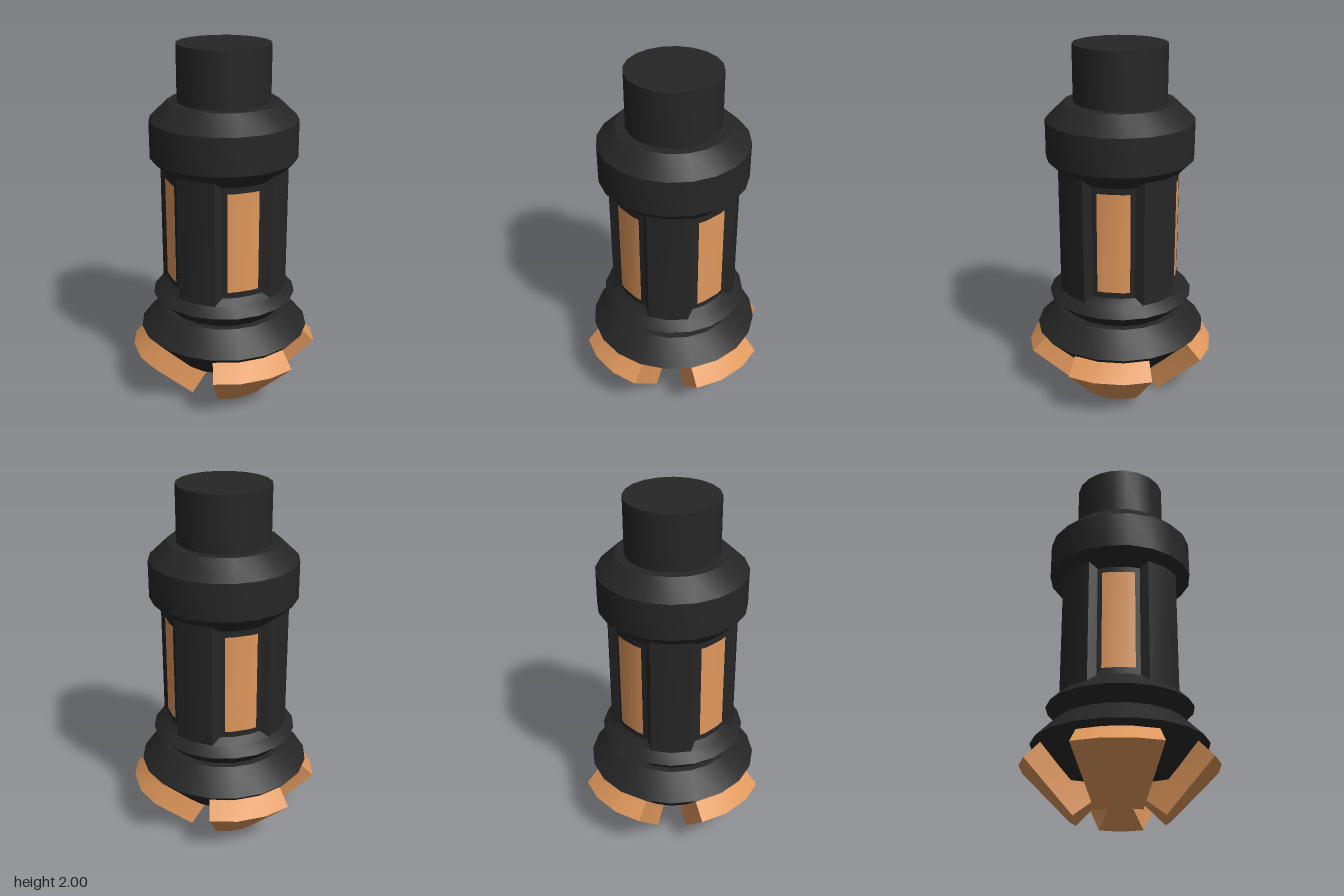
import * as THREE from 'three';
import { toCreasedNormals } from 'three/addons/utils/BufferGeometryUtils.js';

const SIDES = 20;
const CREASE = 0.5;

// point at an angle (degrees, from +z towards +x), a radius and a height
const polar = (deg, r, y) => {
  const a = THREE.MathUtils.degToRad(deg);
  return new THREE.Vector3(r * Math.sin(a), y, r * Math.cos(a));
};

// adds a triangle unless it has collapsed
function tri(out, a, b, c) {
  const area = b.clone().sub(a).cross(c.clone().sub(a)).length();
  if (area > 1e-8) for (const p of [a, b, c]) out.push(p.x, p.y, p.z);
}

// skin over rows of points, rows upwards and columns to the right
function skin(rows, out = []) {
  for (let i = 0; i < rows.length - 1; i++) {
    for (let j = 0; j < rows[i].length - 1; j++) {
      const [a, b, c, d] = [rows[i][j], rows[i][j + 1], rows[i + 1][j + 1], rows[i + 1][j]];
      tri(out, a, b, c);
      tri(out, a, c, d);
    }
  }
  return out;
}

function toGeometry(coords) {
  const g = new THREE.BufferGeometry();
  g.setAttribute('position', new THREE.Float32BufferAttribute(coords, 3));
  return toCreasedNormals(g, CREASE);
}

function turned(profile) {
  const points = profile.map(([r, y]) => new THREE.Vector2(r, y));
  return toCreasedNormals(new THREE.LatheGeometry(points, SIDES), CREASE);
}

// barrel sector between two ribs, with a bevelled recess
function recessGeometry() {
  const [R, r, y0, y1, bevel] = [0.355, 0.32, 0.645, 1.345, 0.035];
  const rim = (y) => [18, 18, 36, 54, 72, 72].map((a) => polar(a, R, y));
  const floor = (y, rimY) => [
    polar(18, R, rimY),
    ...[24, 36, 54, 66].map((a) => polar(a, r, y)),
    polar(72, R, rimY),
  ];
  return toGeometry(skin([rim(y0), floor(y0 + bevel, y0), floor(y1 - bevel, y1), rim(y1)]));
}

// solid wedge-shaped jaw, three facets wide
function jawGeometry() {
  const profile = [[0, 0.2, 18], [0.264, 0, 18], [0.531, 0.27, 19.5], [0.452, 0.355, 18], [0, 0.355, 18]];
  const rows = profile.map(([r, y, e]) => [e, 36, 54, 90 - e].map((a) => polar(a, r, y)));
  const out = skin(rows);
  for (let i = 1; i < rows.length - 1; i++) {
    tri(out, rows[0][0], rows[i][0], rows[i + 1][0]);
    tri(out, rows[0][3], rows[i + 1][3], rows[i][3]);
  }
  return toGeometry(out);
}

export function createModel() {
  const model = new THREE.Group();
  const black = new THREE.MeshStandardMaterial({ name: 'black', color: 0x262626 });
  const copper = new THREE.MeshStandardMaterial({ name: 'copper', color: 0xe0985c });

  const add = (name, geometry, material, turn = 0) => {
    const mesh = new THREE.Mesh(geometry, material);
    mesh.name = name;
    mesh.rotation.y = turn;
    model.add(mesh);
  };

  // turned ends of the body
  add('lowerBody', turned([
    [0, 0.18], [0.275, 0.18], [0.48, 0.387], [0.358, 0.51],
    [0.322, 0.512], [0.405, 0.595], [0.355, 0.645],
  ]), black);
  add('collarAndNeck', turned([
    [0.355, 1.345], [0.405, 1.395], [0.405, 1.6], [0.303, 1.697],
    [0.253, 1.697], [0.253, 2], [0, 2],
  ]), black);

  // barrel ribs, recesses, windows and jaws, repeated four times
  const rib = toGeometry(skin([0.645, 1.345].map((y) => [-18, 0, 18].map((a) => polar(a, 0.355, y)))));
  const pane = toGeometry(skin([0.715, 1.277].map((y) => [29, 36, 54, 61].map((a) => polar(a, 0.323, y)))));
  const recess = recessGeometry();
  const jaw = jawGeometry();
  for (let i = 0; i < 4; i++) {
    const turn = (i * Math.PI) / 2;
    add('barrelRib', rib, black, turn);
    add('barrelRecess', recess, black, turn);
    add('window', pane, copper, turn);
    add('jaw', jaw, copper, turn);
  }
  return model;
}
